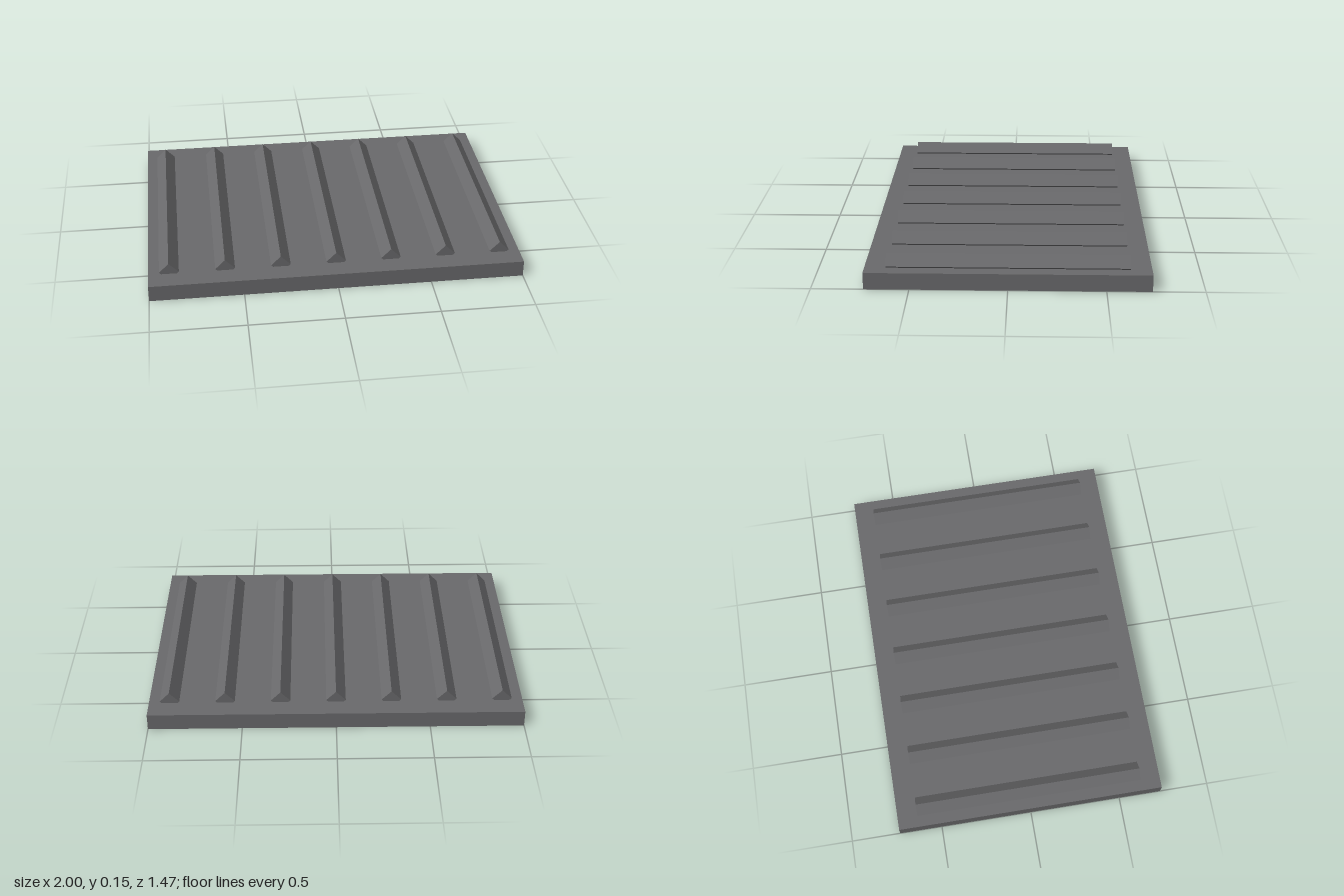
import * as THREE from 'three';

export function createModel() {
  const group = new THREE.Group();
  const darkGrey = new THREE.MeshStandardMaterial({ color: 0x6a6a6c });
  darkGrey.name = 'darkGrey';

  // Flat slab
  const slab = new THREE.Mesh(new THREE.BoxGeometry(2, 0.09, 1.465), darkGrey);
  slab.name = 'slab';
  slab.position.y = 0.045;
  group.add(slab);

  // Seven square bars turned on edge and sunk into the slab
  const ridges = new THREE.Group();
  ridges.name = 'ridges';
  const barGeometry = new THREE.BoxGeometry(0.074, 0.074, 1.246);
  for (let i = -3; i <= 3; i++) {
    const ridge = new THREE.Mesh(barGeometry, darkGrey);
    ridge.name = 'ridge';
    ridge.position.set(i * 0.2965, 0.1, 0);
    ridge.rotation.z = Math.PI / 4;
    ridges.add(ridge);
  }
  group.add(ridges);

  return group;
}
